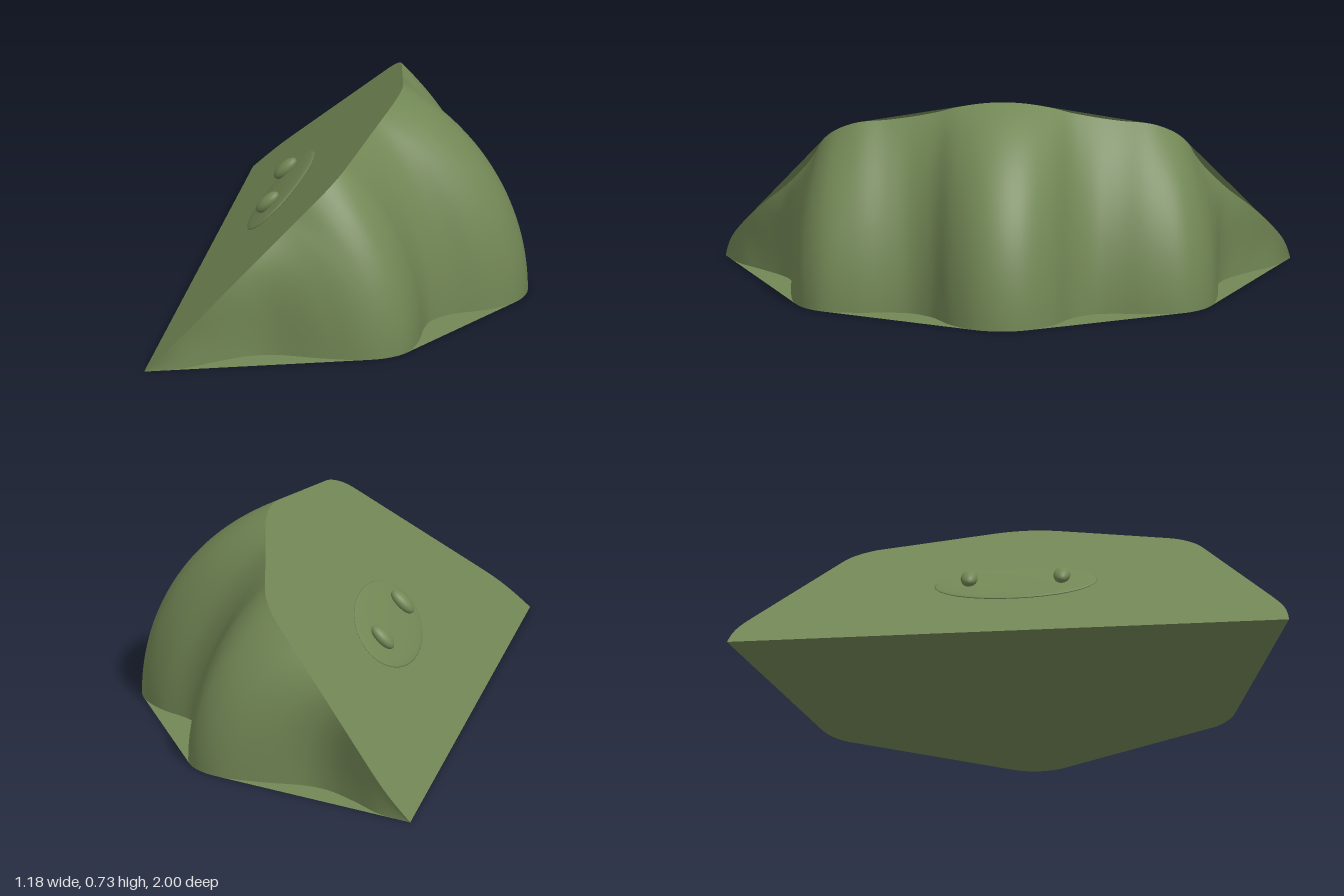
import * as THREE from 'three';

const WEDGE = Math.PI / 4; // opening angle of the wedge
const HINGE = -0.593;      // x of the sharp edge lying along z

// Half outlines as [angle from the middle, radius at the base, radius at the sloping face]
const PROFILE = [
  [0, 1.185, 1.03], [4.4, 1.168, 1.025], [9.4, 1.1, 1.01], [14.5, 0.997, 0.99],
  [19.8, 0.962, 0.988], [24.6, 0.983, 1.0], [30.5, 1.043, 1.033], [36, 1.088, 1.03],
  [40.1, 1.086, 1.005], [44.6, 1.054, 0.96], [50.6, 0.977, 0.925], [59.7, 0.871, 0.91],
  [66.4, 0.851, 0.925], [75, 0.89, 0.955], [82.8, 0.958, 0.985], [90, 1, 1],
];

// Smooth mirrored outline, each point holding angle, base radius and slope radius
function outline() {
  const pts = PROFILE.map(([a, r0, r1]) => new THREE.Vector3(a * Math.PI / 180, r0, r1));
  const mirrored = pts.slice(1).reverse().map(p => new THREE.Vector3(-p.x, p.y, p.z));
  return new THREE.CatmullRomCurve3([...mirrored, ...pts]).getPoints(150);
}

// Point of the outline in the plane of the given wedge fraction: [distance from hinge, z]
function sectionPoint(p, f) {
  const r = THREE.MathUtils.lerp(p.y, p.z, Math.pow(f, 2.1));
  return [r * Math.cos(p.x), r * Math.sin(p.x)];
}

// Lobed outer skin swept around the hinge
function skinGeometry(line, steps) {
  const pos = [], index = [], n = line.length;
  for (let j = 0; j <= steps; j++) {
    const a = WEDGE * j / steps;
    for (const p of line) {
      const [d, z] = sectionPoint(p, j / steps);
      pos.push(HINGE + d * Math.cos(a), d * Math.sin(a), z);
    }
  }
  for (let j = 0; j < steps; j++) {
    for (let i = 0; i < n - 1; i++) {
      const a = j * n + i, b = a + n;
      index.push(a, b, a + 1, a + 1, b, b + 1);
    }
  }
  const g = new THREE.BufferGeometry();
  g.setAttribute('position', new THREE.Float32BufferAttribute(pos, 3));
  g.setIndex(index);
  g.computeVertexNormals();
  return g;
}

// Flat face that bridges the hollows between the lobes
function capGeometry(line, f) {
  const hull = [];
  for (const p of line) {
    const q = new THREE.Vector2(...sectionPoint(p, f));
    while (hull.length > 1) {
      const [a, b] = hull.slice(-2);
      if ((b.x - a.x) * (q.y - a.y) - (b.y - a.y) * (q.x - a.x) > 0) break;
      hull.pop();
    }
    hull.push(q);
  }
  return new THREE.ShapeGeometry(new THREE.Shape(hull));
}

export function createModel() {
  const model = new THREE.Group();
  const green = new THREE.MeshStandardMaterial({ color: 0x728755, side: THREE.DoubleSide });
  green.name = 'mossGreen';

  function add(name, geometry, x = 0, y = 0, z = 0) {
    const mesh = new THREE.Mesh(geometry, green);
    mesh.name = name;
    mesh.position.set(x, y, z);
    model.add(mesh);
    return mesh;
  }

  // Wedge body
  const line = outline();
  add('lobedBody', skinGeometry(line, 32));
  add('baseFace', capGeometry(line, 0).rotateX(Math.PI / 2), HINGE);
  add('slopingFace', capGeometry(line, 1).rotateX(-Math.PI / 2).rotateZ(WEDGE), HINGE);

  // Flattened oval lying just above the sloping face
  const oval = (rx, ry, rz) => new THREE.SphereGeometry(1, 32, 20).scale(rx, ry, rz).rotateZ(WEDGE);
  add('snout', oval(0.152, 0.013, 0.29), -0.296, 0.322, 0);

  // Two small raised nostrils
  for (const [name, side] of [['leftNostril', -1], ['rightNostril', 1]]) {
    add(name, oval(0.053, 0.024, 0.03), -0.312, 0.341, side * 0.165);
  }
  return model;
}
